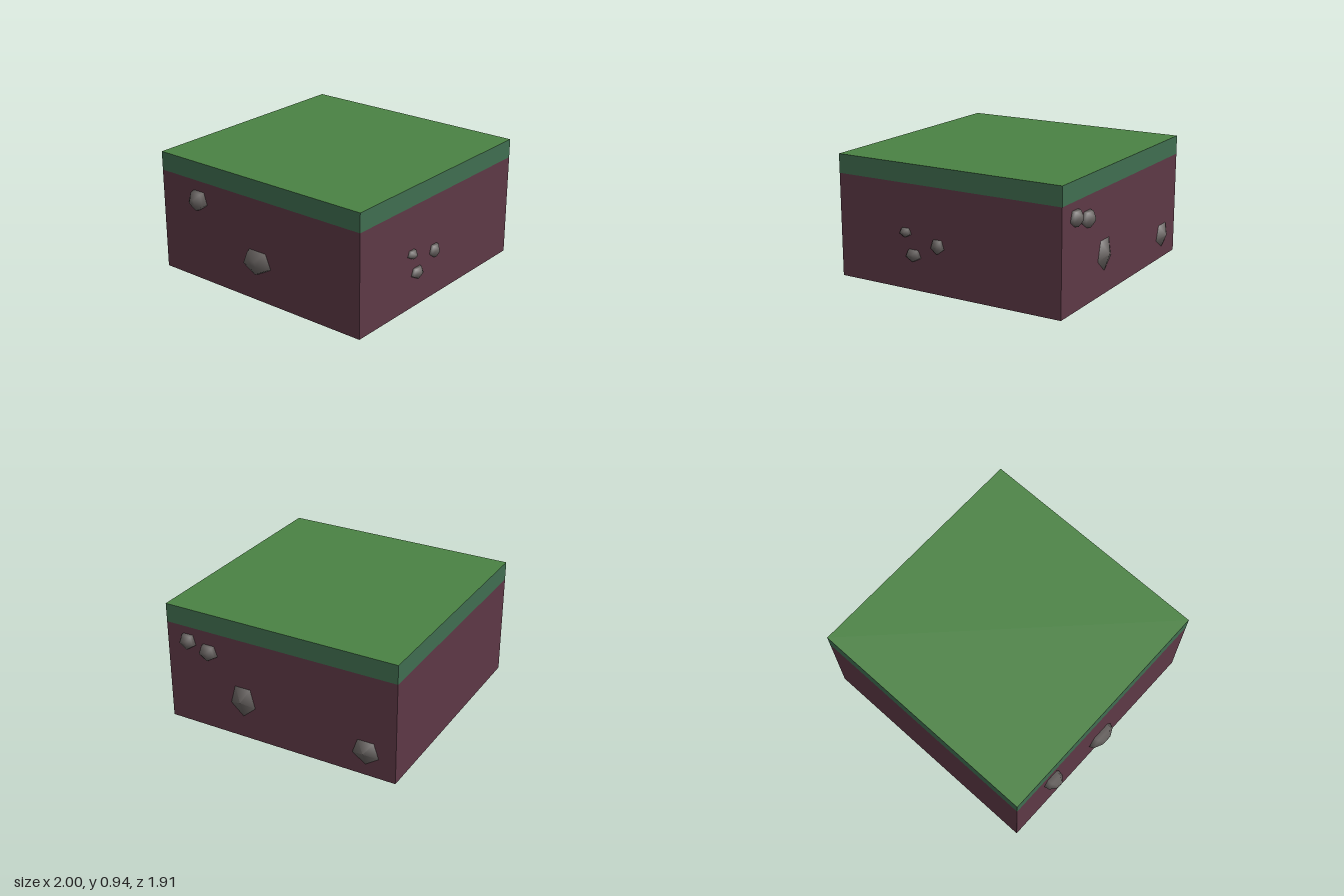
import * as THREE from 'three';

const mat = (name, color) => new THREE.MeshStandardMaterial({ name, color, side: THREE.DoubleSide });

export function createModel() {
  const model = new THREE.Group();
  const grass = mat('grass', 0x4a8243);
  const turf = mat('turfEdge', 0x406d50);
  const soil = mat('soil', 0x5d3845);
  const stone = mat('stone', 0x635e5c);

  // block limits
  const X0 = -0.92, X1 = 0.94, Z0 = -0.96, Z1 = 0.91, TURF = 0.79, TOP = 0.935;
  const cx = (X0 + X1) / 2, cz = (Z0 + Z1) / 2, w = X1 - X0, d = Z1 - Z0;

  // thin side walls around an open bottom: soil below, turf band above
  const sides = [
    { name: 'front', x: cx, z: Z1, width: w, turn: 0 },
    { name: 'left', x: X1, z: cz, width: d, turn: Math.PI / 2 },
    { name: 'back', x: cx, z: Z0, width: w, turn: Math.PI },
    { name: 'right', x: X0, z: cz, width: d, turn: -Math.PI / 2 },
  ];
  for (const s of sides) {
    for (const [part, y0, y1, m] of [['SoilWall', 0, TURF, soil], ['TurfBand', TURF, TOP, turf]]) {
      const wall = new THREE.Mesh(new THREE.PlaneGeometry(s.width, y1 - y0), m);
      wall.name = s.name + part;
      wall.position.set(s.x, (y0 + y1) / 2, s.z);
      wall.rotation.y = s.turn;
      model.add(wall);
    }
  }

  // grass top
  const top = new THREE.Mesh(new THREE.PlaneGeometry(w, d).rotateX(-Math.PI / 2), grass);
  top.name = 'grassTop';
  top.position.set(cx, TOP, cz);
  model.add(top);

  // five-sided stone shell, one corner down, facing +z; inner end left open
  function addStone(name, x, y, z, turn, rx, ry, out, inward, pointed) {
    const profile = [[0.85, -inward], [1, 0]];
    if (pointed) profile.push([0, out]);
    else profile.push([0.9, out * 0.5], [0.35, out], [0, out * 1.03]);
    const geo = new THREE.LatheGeometry(profile.map(([r, h]) => new THREE.Vector2(r, h)), 5);
    geo.rotateX(Math.PI / 2).scale(rx, ry, 1);
    const mesh = new THREE.Mesh(geo, stone);
    mesh.name = name;
    mesh.position.set(x, y, z);
    mesh.rotation.y = turn;
    model.add(mesh);
  }

  // front: x, y, half width, half height, inner depth
  [[-0.33, 0.428, 0.05, 0.038, 0.004], [-0.265, 0.265, 0.067, 0.05, 0.015], [-0.055, 0.363, 0.056, 0.058, 0.004]]
    .forEach(([x, y, rx, ry, inner], i) =>
      addStone('frontStone' + (i + 1), x, y, Z1, 0, rx, ry, 0.042, inner, false));

  // left side: z, y, half width, half height, outer depth, inner depth, pointed
  [[0.73, 0.677, 0.07, 0.067, 0.057, 0.01, false], [0.555, 0.63, 0.079, 0.069, 0.057, 0.01, false],
    [0.275, 0.305, 0.108, 0.13, 0.042, 0.06, true], [-0.725, 0.19, 0.108, 0.102, 0.042, 0.06, true]]
    .forEach(([z, y, rx, ry, out, inner, pointed], i) =>
      addStone('leftStone' + (i + 1), X1, y, z, Math.PI / 2, rx, ry, out, inner, pointed));

  // right side: z, y, half width, half height, outer depth, inner depth
  [[-0.585, 0.643, 0.085, 0.083, 0.078, 0.02], [-0.015, 0.31, 0.13, 0.1, 0.068, 0.04]]
    .forEach(([z, y, rx, ry, out, inner], i) =>
      addStone('rightStone' + (i + 1), X0, y, z, -Math.PI / 2, rx, ry, out, inner, false));

  return model;
}
